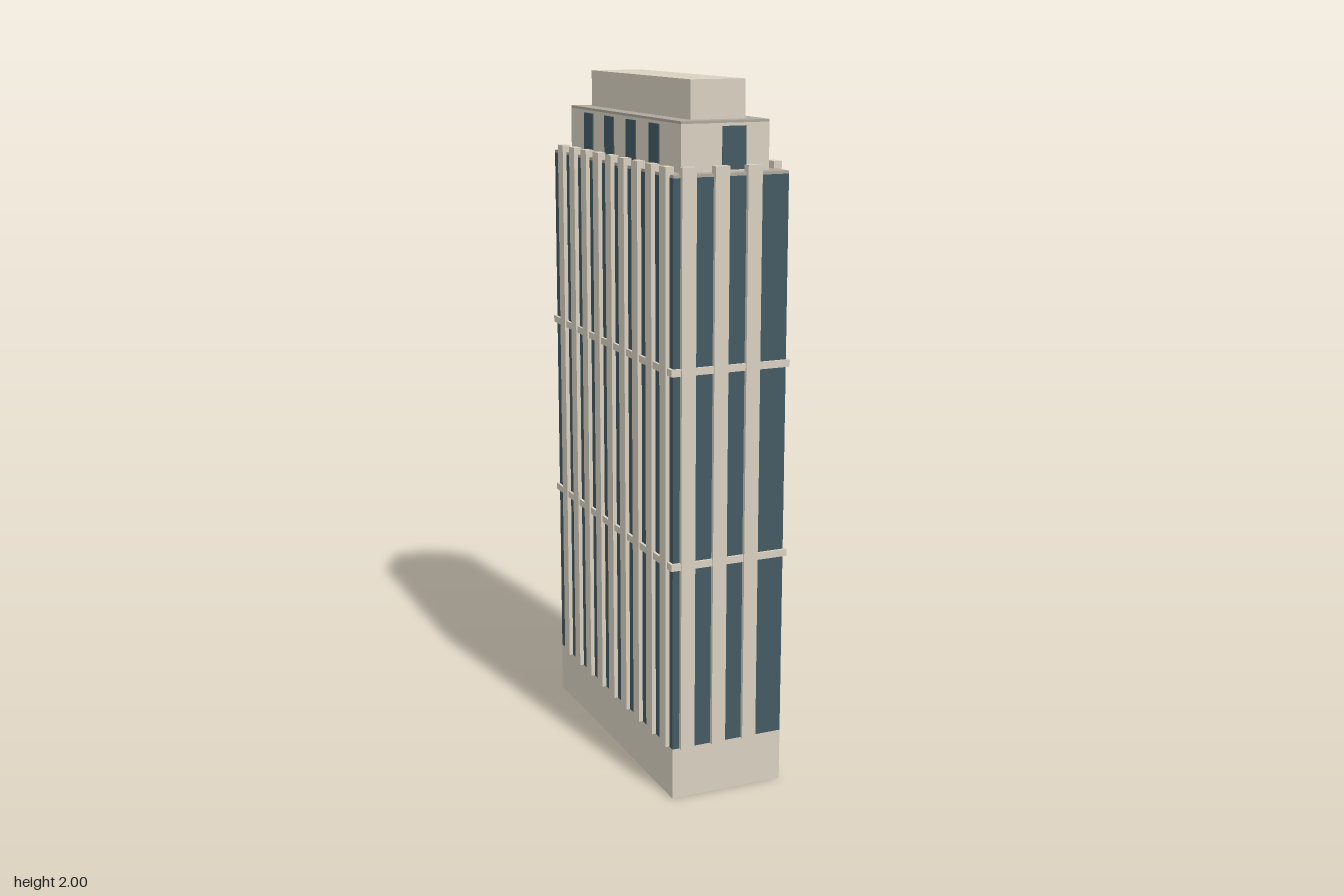
import * as THREE from 'three';

const mat = (name, color) => {
  const m = new THREE.MeshStandardMaterial({ color });
  m.name = name;
  return m;
};

export function createModel() {
  const concrete = mat('pale concrete', 0xd8d0c0);
  const glass = mat('blue grey glass', 0x445a64);
  const roofing = mat('grey roofing', 0xaea89c);

  // The slab tower stands diagonally: local x runs along its length.
  const tower = new THREE.Group();
  tower.name = 'tower';
  tower.rotation.y = -Math.PI / 4;

  const box = (name, material, w, d, y0, y1, x = 0, z = 0) => {
    const mesh = new THREE.Mesh(new THREE.BoxGeometry(w, y1 - y0, d), material);
    mesh.name = name;
    mesh.position.set(x, (y0 + y1) / 2, z);
    tower.add(mesh);
  };

  const L = 0.891, S = 0.339;   // main block
  const l = 0.811, s = 0.259;   // upper storey

  // Stacked volumes
  box('base', concrete, L, S, 0, 0.15);
  box('glassBody', glass, L, S, 0.15, 1.752);
  box('mainRoof', roofing, L, S, 1.752, 1.76);
  box('upperStorey', concrete, l, s, 1.76, 1.888);
  box('upperRoof', roofing, l, s, 1.888, 1.895);
  box('penthouse', concrete, 0.714, 0.162, 1.895, 2);

  // Horizontal bands
  for (const y of [0.69, 1.235]) box('band', concrete, L + 0.016, S + 0.016, y - 0.01, y + 0.01);

  // Vertical fins on the four walls
  const step = 0.096, finW = 0.042, finD = 0.024;
  const fin = (w, d, x, z) => box('fin', concrete, w, d, 0.15, 1.78, x, z);
  for (let i = 0; i < 9; i++) fin(finW, finD, -0.366 + i * step, S / 2);
  for (let i = 0; i < 8; i++) fin(finW, finD, 0.359 - i * step, -S / 2);
  for (const side of [1, -1])
    for (let i = 0; i < 3; i++) fin(finD, finW, side * L / 2, side * (0.128 - i * step));

  // Upper storey windows, as thin plates
  const win = (w, d, x, z) => box('upperWindow', glass, w, d, 1.765, 1.88, x, z);
  for (let i = 0; i < 4; i++) {
    win(0.07, 0.006, -0.258 + i * 0.1626, s / 2);
    win(0.07, 0.006, -0.304 + i * 0.1626, -s / 2);
  }
  win(0.006, 0.07, l / 2, -0.025);
  win(0.006, 0.07, -l / 2, -0.05);

  const model = new THREE.Group();
  model.name = 'officeTower';
  model.add(tower);
  return model;
}
